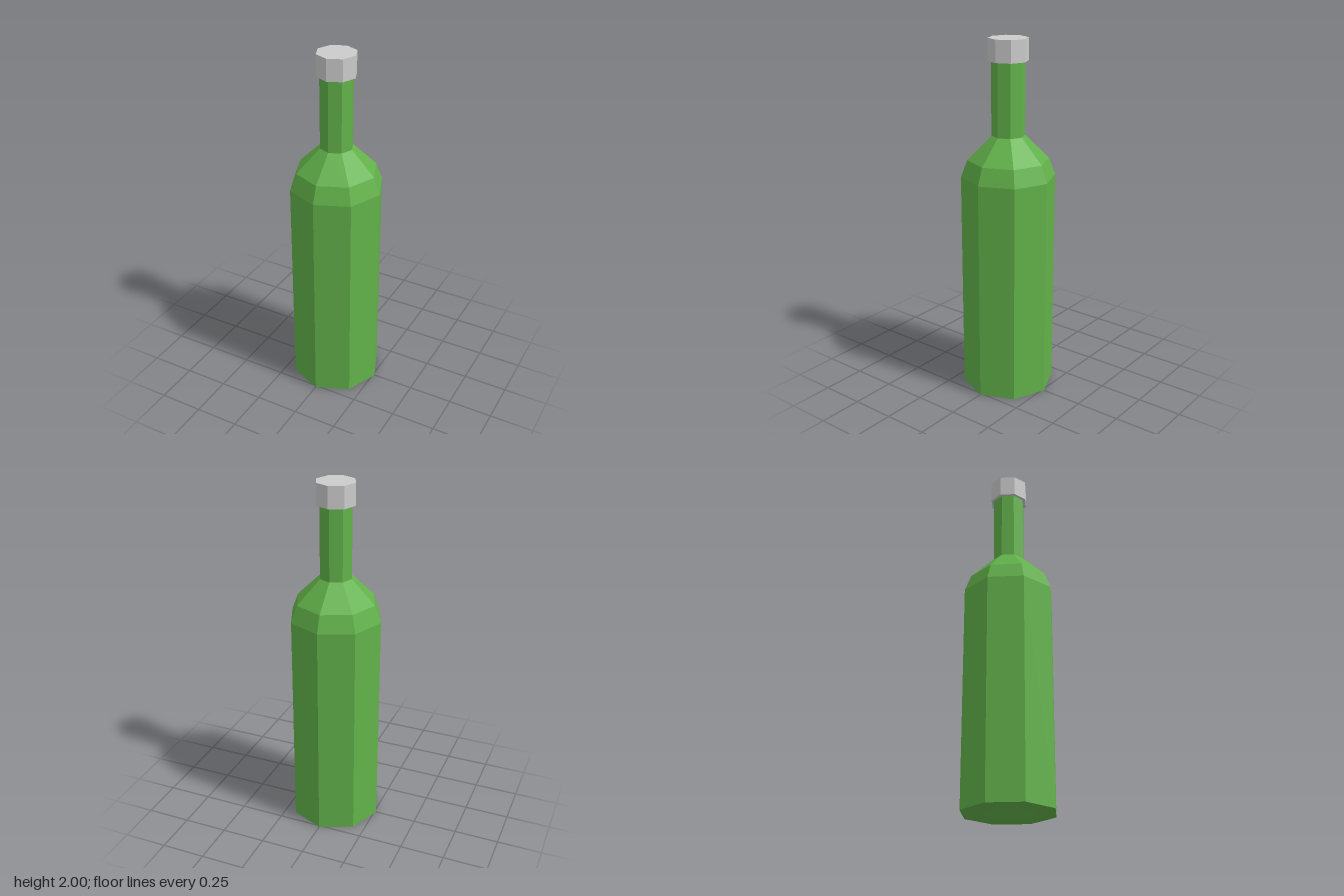
import * as THREE from 'three';

const SIDES = 8;

// Revolves a profile of [radius, height] points, listed from bottom to top
function turned(name, profile, color) {
  const points = profile.map(([r, y]) => new THREE.Vector2(r, y));
  const material = new THREE.MeshStandardMaterial({ color, flatShading: true });
  const mesh = new THREE.Mesh(new THREE.LatheGeometry(points, SIDES), material);
  mesh.name = name;
  return mesh;
}

export function createModel() {
  const group = new THREE.Group();
  group.name = 'bottle';

  // Glass: hollowed base, straight body, two-step shoulder and neck
  group.add(turned('glassBody', [
    [0, 0.06], [0.145, 0], [0.261, 0],
    [0.261, 1.25], [0.225, 1.345],
    [0.092, 1.478], [0.092, 1.88],
  ], 0x62b24a));

  // Cap, closed at top and bottom
  group.add(turned('cap', [
    [0, 1.88], [0.109, 1.88], [0.109, 2], [0, 2],
  ], 0xcccccc));

  return group;
}
